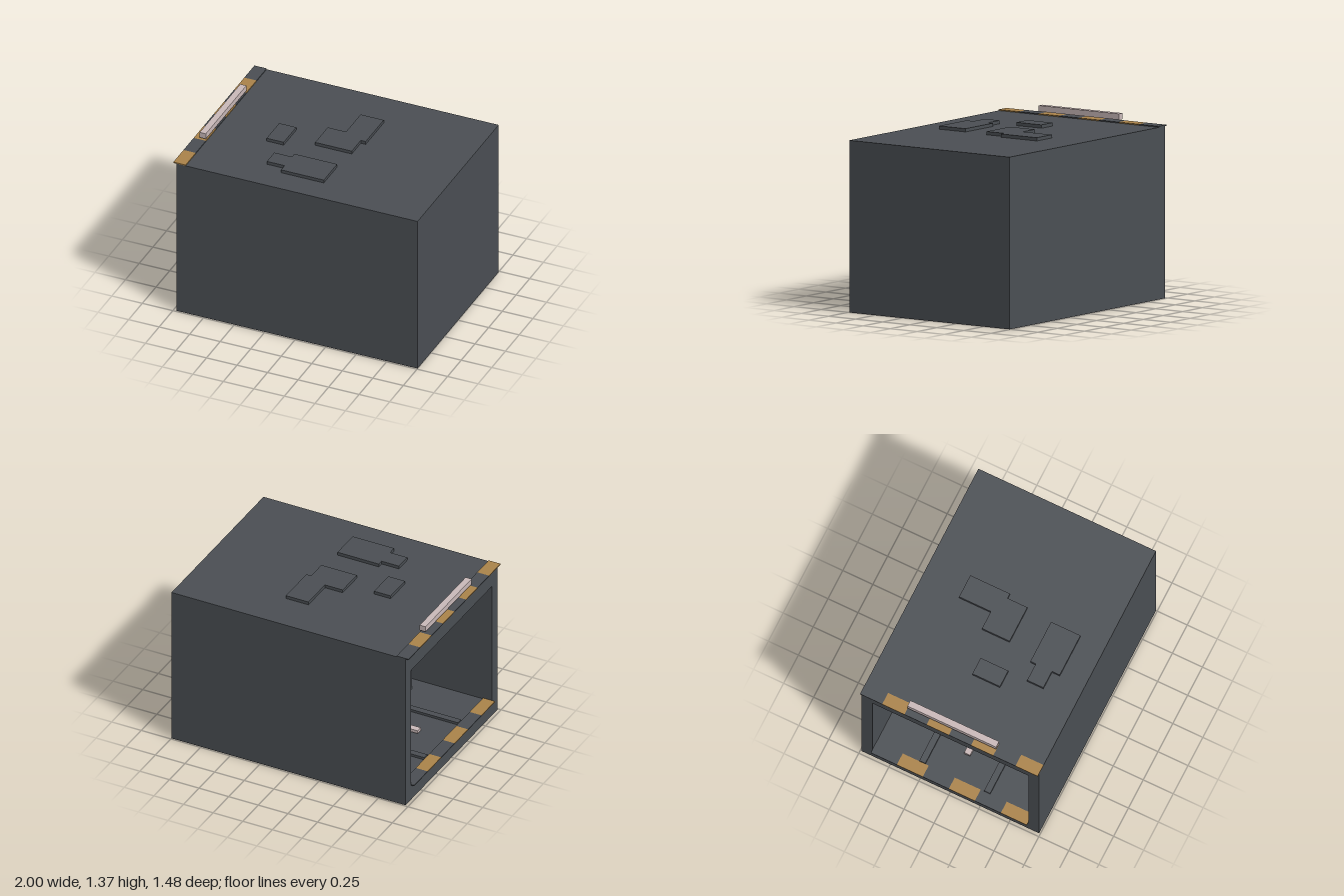
import * as THREE from 'three';

const material = (name, color) => {
  const m = new THREE.MeshStandardMaterial({ color });
  m.name = name;
  return m;
};

export function createModel() {
  const hull = material('dark grey hull', 0x4b4f54);
  const amber = material('amber marking', 0xab844a);
  const lamp = material('pale pink lamp', 0xcbbaba);
  const group = new THREE.Group();

  const add = (name, geometry, mat) => {
    const mesh = new THREE.Mesh(geometry, mat);
    mesh.name = name;
    group.add(mesh);
    return mesh;
  };

  // Box given by its limits on each axis
  const block = (name, mat, x0, x1, y0, y1, z0, z1) => {
    const mesh = add(name, new THREE.BoxGeometry(x1 - x0, y1 - y0, z1 - z0), mat);
    mesh.position.set((x0 + x1) / 2, (y0 + y1) / 2, (z0 + z1) / 2);
  };

  const outline = points => points.map(([a, b]) => new THREE.Vector2(a, b));

  // Hollow bay: rectangular tube along x, open at -x
  const section = new THREE.Shape(outline([[-0.74, 0], [0.74, 0], [0.74, 1.3], [-0.74, 1.3]]));
  section.holes.push(new THREE.Path(outline([[-0.65, 0.125], [-0.65, 1.15], [0.65, 1.15], [0.65, 0.125]])));
  const tube = new THREE.ExtrudeGeometry(section, { depth: 1.875, bevelEnabled: false });
  tube.rotateY(Math.PI / 2).translate(-0.975, 0, 0);
  add('bayShell', tube, hull);
  block('endWall', hull, 0.9, 1, 0, 1.3, -0.74, 0.74);

  // Striped sills: alternating dark and amber, first one dark
  const sill = (name, y, half, count) => {
    const step = (2 * half) / count;
    for (let i = 0; i < count; i++) {
      const z = -half + i * step;
      block(name, i % 2 ? amber : hull, -1, -0.9, y, y + 0.008, z, z + step);
    }
  };
  sill('roofSill', 1.3, 0.74, 8);
  sill('floorSill', 0.125, 0.65, 6);

  // Raised roof panels, outlined in x and z
  const panels = [
    [[-0.49, -0.055], [-0.35, -0.055], [-0.35, 0.175], [-0.49, 0.175]],
    [[0.015, -0.415], [0.205, -0.415], [0.205, -0.085], [0.165, -0.085],
      [0.165, 0.08], [-0.135, 0.08], [-0.135, -0.15], [0.015, -0.15]],
    [[-0.355, 0.335], [-0.21, 0.335], [-0.21, 0.29], [0.14, 0.29],
      [0.14, 0.535], [-0.21, 0.535], [-0.21, 0.47], [-0.355, 0.47]],
  ];
  for (const points of panels) {
    const shape = new THREE.Shape(outline(points.map(([x, z]) => [x, -z])));
    const geometry = new THREE.ExtrudeGeometry(shape, { depth: 0.025, bevelEnabled: false });
    geometry.rotateX(-Math.PI / 2).translate(0, 1.3, 0);
    add('roofPanel', geometry, hull);
  }

  // Lamp bars over the entrance and along the floor
  block('roofLampBar', lamp, -0.95, -0.9, 1.325, 1.37, -0.37, 0.37);
  block('floorLampBar', lamp, -0.7, 0.5, 0.14, 0.165, -0.02, 0.03);

  // Floor rails and lamp posts on both sides
  for (const side of [-1, 1]) {
    const z = side * 0.27;
    block('floorRail', hull, -0.9, 0.85, 0.125, 0.145, z - 0.025, z + 0.025);
    const p = side * 0.5;
    block('lampPost', hull, -0.365, -0.315, 0.125, 0.325, p - 0.025, p + 0.025);
    block('postLamp', lamp, -0.36, -0.32, 0.325, 0.36, p - 0.02, p + 0.02);
  }
  return group;
}
